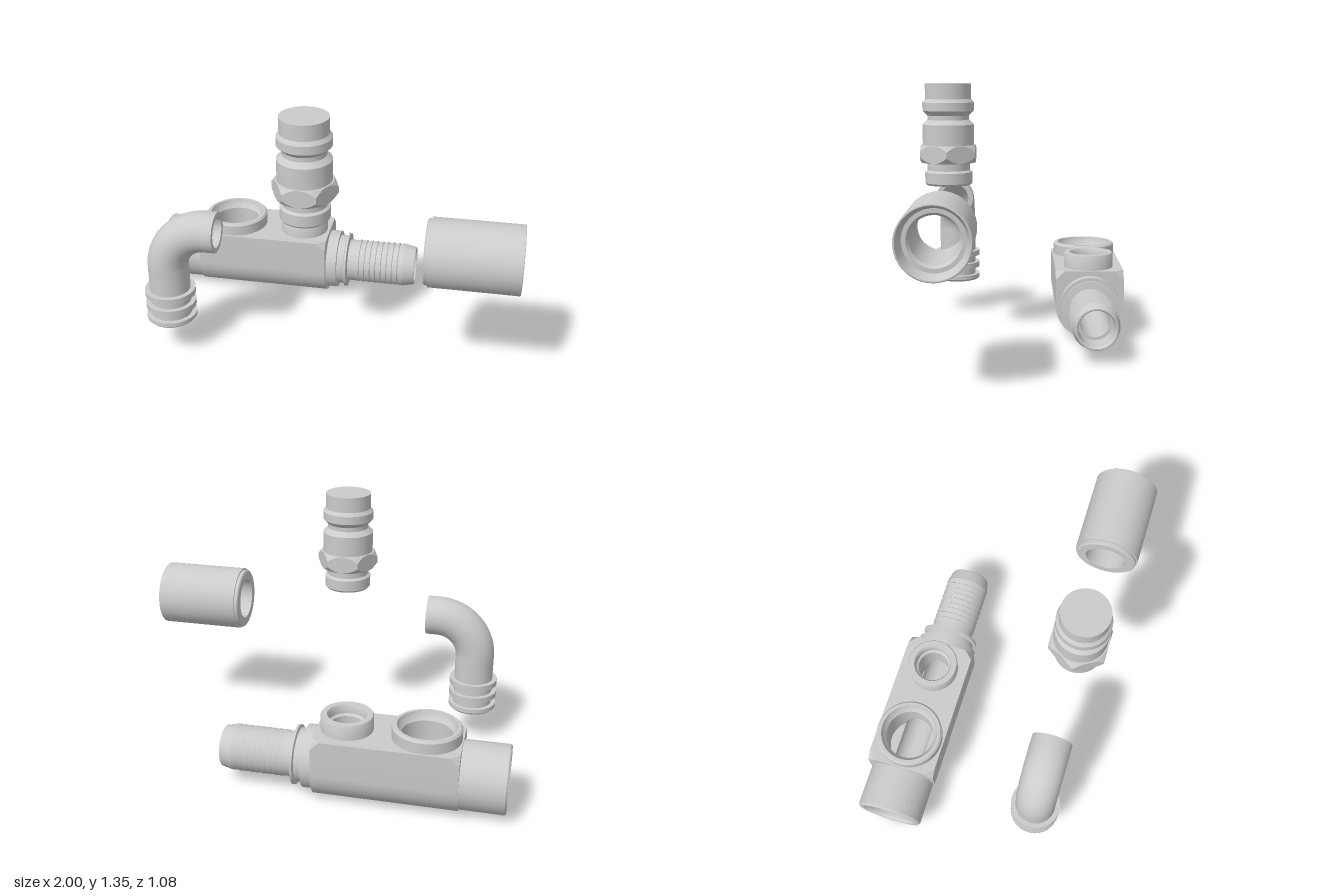
import * as THREE from 'three';
import { toCreasedNormals } from 'three/addons/utils/BufferGeometryUtils.js';

const material = new THREE.MeshStandardMaterial({ color: 0xcccccc, side: THREE.DoubleSide });
const V = (x, y) => new THREE.Vector2(x, y);

function add(parent, name, geometry, x = 0, y = 0, z = 0, crease = 0.6) {
  const mesh = new THREE.Mesh(toCreasedNormals(geometry, crease), material);
  mesh.name = name;
  mesh.position.set(x, y, z);
  parent.add(mesh);
  return mesh;
}

// Turned part: profile of [radius, distance along axis]; the axis is y, or x when alongX
function turned(profile, alongX = false) {
  const g = new THREE.LatheGeometry(profile.map(([r, d]) => V(r, d)), 48);
  return alongX ? g.rotateZ(-Math.PI / 2) : g;
}

// Surface joining rows of equally many [x, y, z] points
function loft(rows) {
  const n = rows[0].length, index = [];
  for (let i = 0; i < rows.length - 1; i++)
    for (let j = 0; j < n - 1; j++) {
      const a = i * n + j, b = a + n;
      index.push(a, b, a + 1, b, b + 1, a + 1);
    }
  const g = new THREE.BufferGeometry();
  g.setAttribute('position', new THREE.Float32BufferAttribute(rows.flat(2), 3));
  g.setIndex(index);
  return g;
}

const range = (n, fn) => Array.from({ length: n + 1 }, (_, i) => fn(i / n));

function circleHole(shape, x, y, r) {
  shape.holes.push(new THREE.Path().absarc(x, y, r, 0, Math.PI * 2, true));
}

function makeManifold() {
  const group = new THREE.Group();
  group.name = 'manifold';
  group.position.set(0, 0.182, -0.365);
  const x0 = -0.77, x1 = -0.05, half = 0.18, top = 0.183, channel = 0.075, cut = 0.045;
  const ports = [
    { x: -0.592, r: 0.125, hole: 0.15,
      profile: [[0.172, 0.17], [0.172, 0.24], [0.163, 0.25], [0.147, 0.25], [0.142, 0.225], [0.125, 0.205]] },
    { x: -0.197, r: 0.08, hole: 0.1,
      profile: [[0.131, 0.17], [0.131, 0.257], [0.127, 0.263], [0.1, 0.263], [0.092, 0.25], [0.092, 0.215], [0.08, 0.205]] },
  ];

  // Block with round underside; the upper corners are cut at both ends
  const section = (limit) => {
    const a = Math.asin(Math.min(1, top / limit)), b = Math.acos(Math.min(1, half / limit));
    const side = [[limit * Math.cos(a), top], [limit * Math.cos(b), limit * Math.sin(b)]];
    const under = range(28, (t) => [half * Math.cos(t * Math.PI), -half * Math.sin(t * Math.PI)]);
    return [...side, ...under, ...side.map(([z, y]) => [-z, y]).reverse()];
  };
  const full = Math.hypot(half, top), small = 0.227;
  const stations = [[x0, small], [x0 + cut, full], [x1 - cut, full], [x1, small]];
  add(group, 'blockSides', loft(stations.map(([x, r]) => section(r).map(([z, y]) => [x, y, z]))));
  for (const x of [x0, x1]) {
    const end = new THREE.Shape(section(small).map(([z, y]) => V(z, y)));
    circleHole(end, 0, 0, 0.1);
    add(group, 'blockEnd', new THREE.ShapeGeometry(end, 32).rotateY(Math.PI / 2), x);
  }
  const w = Math.sqrt(small ** 2 - top ** 2);
  const face = new THREE.Shape([
    V(x0, -w), V(x0 + cut, -half), V(x1 - cut, -half), V(x1, -w),
    V(x1, w), V(x1 - cut, half), V(x0 + cut, half), V(x0, w)]);
  ports.forEach((p) => circleHole(face, p.x, 0, p.hole));
  add(group, 'blockTop', new THREE.ShapeGeometry(face, 32).rotateX(Math.PI / 2), 0, top);

  // Ports: raised collar, bore wall trimmed to the channel, and floor ledges
  for (const p of ports) {
    add(group, 'portCollar', turned(p.profile), p.x);
    const ring = range(64, (t) => [p.r * Math.cos(t * 2 * Math.PI), p.r * Math.sin(t * 2 * Math.PI)]);
    add(group, 'portBore', loft([
      ring.map(([x, z]) => [x, 0.205, z]),
      ring.map(([x, z]) => [x, Math.sqrt(Math.max(0, channel ** 2 - z * z)), z])]), p.x);
    for (const s of [-1, 1])
      add(group, 'portLedge', loft([0, 1].map((k) => range(16, (t) => {
        const z = channel + (p.r - channel) * t;
        return [(2 * k - 1) * Math.sqrt(Math.max(0, p.r ** 2 - z * z)), 0, s * z];
      }))), p.x);
  }

  // Through channel, its upper half interrupted by the ports
  const pipe = (from, to, sign) => loft([from, to].map((edge) => range(24, (t) => {
    const z = channel * Math.cos(t * Math.PI);
    return [edge(z), sign * channel * Math.sin(t * Math.PI), z];
  })));
  const at = (x) => () => x;
  const rim = (p, s) => (z) => p.x + s * Math.sqrt(p.r ** 2 - z * z);
  add(group, 'channelLower', pipe(at(x0), at(0.3), -1));
  const edges = [at(x0), rim(ports[0], -1), rim(ports[0], 1), rim(ports[1], -1), rim(ports[1], 1), at(0.3)];
  for (let i = 0; i < 6; i += 2) add(group, 'channelUpper', pipe(edges[i], edges[i + 1], 1));

  // Socket end with a small diamond mark
  add(group, 'socket', turned([[0.172, x0], [0.172, -0.992], [0.164, -1], [0.143, -1],
    [0.132, -0.985], [0.132, -0.8], [channel, -0.8], [channel, x0]], true));
  const mark = add(group, 'diamondMark', new THREE.CylinderGeometry(0.022, 0.022, 0.006, 4), -0.93, 0.121, 0.121);
  mark.rotation.x = Math.PI / 4;

  // Stepped neck and toothed hose barb
  const barb = [[0.1, x1], [0.157, x1], [0.16, -0.045], [0.16, 0.008], [0.137, 0.008], [0.137, 0.045],
    [0.152, 0.05], [0.152, 0.062], [0.116, 0.066]];
  for (let i = 0; i < 9; i++) barb.push([0.1145, 0.1 + i * 0.031], [0.119, 0.128 + i * 0.031]);
  barb.push([0.117, 0.385], [0.106, 0.435], [0.103, 0.44], [0.096, 0.44], [0.09, 0.425], [0.09, 0.3], [channel, 0.3]);
  add(group, 'hoseBarb', turned(barb, true), 0, 0, 0, 0.3);
  return group;
}

function makeElbow() {
  const group = new THREE.Group();
  group.name = 'elbow';
  group.position.set(-0.745, 0, 0.372);
  const outer = 0.103, inner = 0.077, bend = 0.21, y = 0.49;
  // Ringed spigot
  add(group, 'spigot', turned([[inner, y], [inner, 0.185], [0.118, 0.185], [0.128, 0.195], [0.128, 0.217],
    [0.104, 0.217], [0.104, 0.257], [0.128, 0.257], [0.128, 0.288], [0.104, 0.288], [0.104, 0.328],
    [0.128, 0.328], [0.128, 0.358], [outer, 0.358], [outer, y]]));
  // Quarter bend and open outlet
  for (const r of [outer, inner])
    add(group, 'bend', new THREE.TorusGeometry(bend, r, 40, 28, Math.PI / 2).rotateZ(Math.PI / 2), bend, y);
  add(group, 'outlet', turned([[outer, bend], [outer, 0.265], [inner, 0.265], [inner, bend]], true), 0, y + bend);
  return group;
}

function makePlug() {
  const group = new THREE.Group();
  group.name = 'plug';
  group.position.set(-0.036, 0, 0.372);
  add(group, 'lowerStem', turned([[0, 0.83], [0.114, 0.83], [0.122, 0.84], [0.122, 0.896], [0.109, 0.906],
    [0.109, 0.946]]));
  add(group, 'upperStem', turned([[0.132, 1.036], [0.132, 1.14], [0.107, 1.164], [0.107, 1.186], [0.132, 1.21],
    [0.132, 1.252], [0.118, 1.27], [0.118, 1.348], [0, 1.348]]));
  // Hexagon with cone-trimmed corners
  const flat = 0.14, y0 = 0.946, y1 = 1.036, sixth = Math.PI / 3;
  const hex = (t) => flat / Math.cos(((t + sixth / 2) % sixth) - sixth / 2);
  const row = (radius, height) => range(72, (u) => {
    const t = u * 2 * Math.PI, r = radius(hex(t));
    return [r * Math.sin(t), height(hex(t) - flat), r * Math.cos(t)];
  });
  add(group, 'hexNut', loft([
    row(() => 0.05, () => y0), row(() => flat, () => y0), row((h) => h, (d) => y0 + 1.4 * d),
    row((h) => h, (d) => y1 - 1.4 * d), row(() => flat, () => y1), row(() => 0.05, () => y1)]), 0, 0, 0, 0.4);
  return group;
}

function makeSleeve() {
  const group = new THREE.Group();
  group.name = 'sleeve';
  group.position.set(0, 0.702, 0.37);
  add(group, 'sleeveShell', turned([[0.108, 0.545], [0.152, 0.545], [0.159, 0.55], [0.159, 0.566], [0.168, 0.566],
    [0.168, 0.997], [0.165, 1], [0.16, 1], [0.14, 0.93], [0.12, 0.93], [0.108, 0.915], [0.108, 0.545]], true), 0, 0, 0, 0.25);
  return group;
}

export function createModel() {
  const model = new THREE.Group();
  model.name = 'pipeFittings';
  model.add(makeManifold(), makeElbow(), makePlug(), makeSleeve());
  return model;
}
